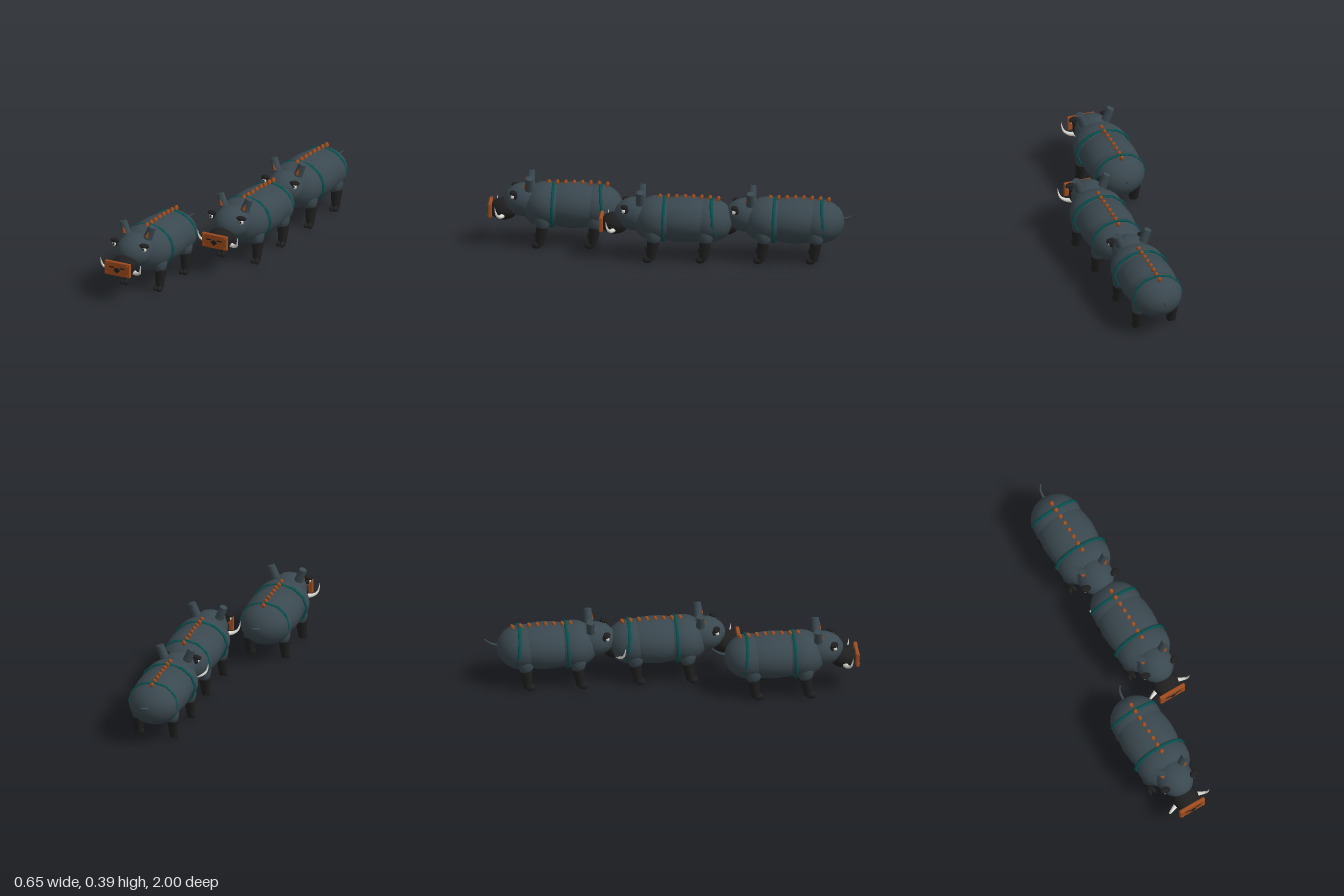
import * as THREE from 'three';
import { RoundedBoxGeometry } from 'three/addons/geometries/RoundedBoxGeometry.js';

const mat = (name, color) => Object.assign(new THREE.MeshStandardMaterial({ color }), { name });

export function createModel() {
  const hide = mat('slate hide', 0x3a484f);
  const dark = mat('black bristle', 0x1f1f1f);
  const copper = mat('copper plate', 0xa04c1e);
  const teal = mat('teal strap', 0x07504f);
  const ivory = mat('ivory', 0xdcdcd4);

  const add = (parent, name, geometry, material, pos = [0, 0, 0], rot = [0, 0, 0]) => {
    const m = new THREE.Mesh(geometry, material);
    m.name = name;
    m.position.set(...pos);
    m.rotation.set(...rot);
    parent.add(m);
    return m;
  };
  const ellipsoid = (rx, ry, rz, w = 24, h = 16) => new THREE.SphereGeometry(1, w, h).scale(rx, ry, rz);
  const v = (p) => new THREE.Vector3(...p);

  // Tube whose rings shrink from r0 to r1 along a curve
  const taperedTube = (points, r0, r1, segs = 14, sides = 8) => {
    const curve = new THREE.CatmullRomCurve3(points.map(v));
    const g = new THREE.TubeGeometry(curve, segs, r0, sides);
    const pos = g.attributes.position, p = new THREE.Vector3();
    for (let i = 0; i < pos.count; i++) {
      const t = Math.floor(i / (sides + 1)) / segs;
      const c = curve.getPointAt(t);
      p.fromBufferAttribute(pos, i).sub(c).multiplyScalar(1 + (r1 / r0 - 1) * t).add(c);
      pos.setXYZ(i, p.x, p.y, p.z);
    }
    g.computeVertexNormals();
    return g;
  };

  // Round limb between two points
  const limb = (parent, name, a, b, ra, rb, material) => {
    const A = v(a), d = v(b).sub(A);
    const m = add(parent, name, new THREE.CylinderGeometry(rb, ra, d.length(), 14), material);
    m.position.copy(A).addScaledVector(d, 0.5);
    m.quaternion.setFromUnitVectors(new THREE.Vector3(0, 1, 0), d.normalize());
    return m;
  };

  // Leg with a grey thigh, black shin and two toes
  const addLeg = (boar, name, s, x, zTop, zFoot) => {
    const leg = new THREE.Group();
    leg.name = name;
    boar.add(leg);
    add(leg, 'thigh', ellipsoid(0.038, 0.065, 0.045), hide, [s * (x - 0.005), 0.16, zTop]);
    limb(leg, 'shin', [s * x, 0.018, zFoot - 0.008], [s * x, 0.118, zTop], 0.022, 0.033, dark);
    for (const t of [-1, 1])
      add(leg, 'toe', ellipsoid(0.012, 0.017, 0.026, 12, 8), dark, [s * x + t * 0.012, 0.017, zFoot + 0.008]);
  };

  // Faceted strap hugging the body
  const addStrap = (boar, name, rx, ry, pos, tilt) => {
    const g = new THREE.TorusGeometry(1, 0.05, 6, 12).scale(rx, ry, 0.2);
    add(boar, name, g, teal, pos, [tilt, 0, 0]);
  };

  const buildBoar = () => {
    const boar = new THREE.Group();
    // Body
    add(boar, 'shoulders', ellipsoid(0.151, 0.125, 0.14), hide, [0, 0.22, 0.08]);
    add(boar, 'barrel', ellipsoid(0.15, 0.125, 0.25), hide, [0, 0.219, -0.07]);
    add(boar, 'rump', ellipsoid(0.143, 0.12, 0.14), hide, [0, 0.215, -0.195]);
    add(boar, 'head', ellipsoid(0.1, 0.092, 0.118), hide, [0, 0.246, 0.198]);
    add(boar, 'snout', ellipsoid(0.072, 0.06, 0.078), dark, [0, 0.192, 0.315]);
    add(boar, 'tail', taperedTube([[0, 0.23, -0.32], [0.002, 0.235, -0.35],
      [0.006, 0.245, -0.375], [0.022, 0.258, -0.4]], 0.008, 0.004), hide);

    // Straps and spine studs
    addStrap(boar, 'frontStrap', 0.152, 0.122, [0, 0.22, 0.045], -0.03);
    addStrap(boar, 'rearStrap', 0.138, 0.116, [0, 0.222, -0.225], 0.1);
    for (let i = 0; i < 8; i++) {
      const z = 0.07 - i * 0.0455;
      const y = 0.343 - 0.35 * Math.max(0, -z - 0.1) ** 2;
      add(boar, 'spineStud', ellipsoid(0.0125, 0.018, 0.011, 12, 8), copper, [0, y, z], [-0.35, 0, 0]);
    }

    // Snout plate with rivets and dark markings
    const plate = new THREE.Group();
    plate.name = 'snoutPlate';
    plate.position.set(0, 0.197, 0.387);
    boar.add(plate);
    add(plate, 'plate', new RoundedBoxGeometry(0.158, 0.081, 0.02, 2, 0.006), copper);
    for (const x of [-1, 1]) {
      for (const y of [-1, 1])
        add(plate, 'rivet', ellipsoid(0.0055, 0.0055, 0.004, 10, 8), copper, [x * 0.064, y * 0.027, 0.01]);
      add(plate, 'nostrilSlit', new THREE.BoxGeometry(0.029, 0.007, 0.004), dark, [x * 0.033, 0.009, 0.01]);
    }
    const diamond = new THREE.Shape([[-0.02, 0], [0, -0.016], [0.02, 0], [0.008, 0.014], [-0.008, 0.014]]
      .map((p) => new THREE.Vector2(...p)));
    add(plate, 'noseMark', new THREE.ExtrudeGeometry(diamond, { depth: 0.004, bevelEnabled: false }),
      dark, [0, -0.006, 0.0085]);

    for (const s of [-1, 1]) {
      // Legs
      addLeg(boar, 'frontLeg', s, 0.105, 0.1, 0.122);
      addLeg(boar, 'rearLeg', s, 0.1, -0.185, -0.165);

      // Ears with copper lining
      const ear = new THREE.Group();
      ear.name = 'ear';
      ear.position.set(s * 0.078, 0.352, 0.172);
      ear.rotation.set(-0.05, 0, -s * 0.36);
      boar.add(ear);
      add(ear, 'earShell', new THREE.CylinderGeometry(0.021, 0.025, 0.075, 16), hide);
      add(ear, 'earLining', new THREE.ConeGeometry(0.011, 0.046, 8).scale(1, 1, 0.5), copper,
        [0, -0.004, 0.022], [-0.04, 0, 0]);

      // Eyes and brows
      add(boar, 'eyeSocket', ellipsoid(0.016, 0.017, 0.015, 12, 10), dark, [s * 0.086, 0.284, 0.25]);
      add(boar, 'eye', ellipsoid(0.012, 0.013, 0.012, 14, 10), ivory, [s * 0.094, 0.284, 0.262]);
      add(boar, 'pupil', ellipsoid(0.006, 0.007, 0.005, 10, 8), dark, [s * 0.094, 0.286, 0.272]);
      add(boar, 'brow', ellipsoid(0.029, 0.012, 0.02, 10, 6), dark, [s * 0.092, 0.304, 0.258], [0.1, s * 0.35, -s * 0.12]);

      // Tusk sweeping out and up
      add(boar, 'tusk', taperedTube([[s * 0.05, 0.168, 0.315], [s * 0.085, 0.166, 0.33],
        [s * 0.113, 0.18, 0.345], [s * 0.122, 0.202, 0.353], [s * 0.126, 0.233, 0.358]], 0.015, 0.001), ivory);
    }
    return boar;
  };

  // Three boars in a staggered line
  const herd = new THREE.Group();
  herd.name = 'boarTeam';
  [['leadBoar', -0.166, 0.602], ['middleBoar', 0.129, 0.002], ['rearBoar', 0.159, -0.598]].forEach(([name, x, z]) => {
    const boar = buildBoar();
    boar.name = name;
    boar.position.set(x, 0, z);
    boar.rotation.y = -0.07;
    herd.add(boar);
  });
  return herd;
}
